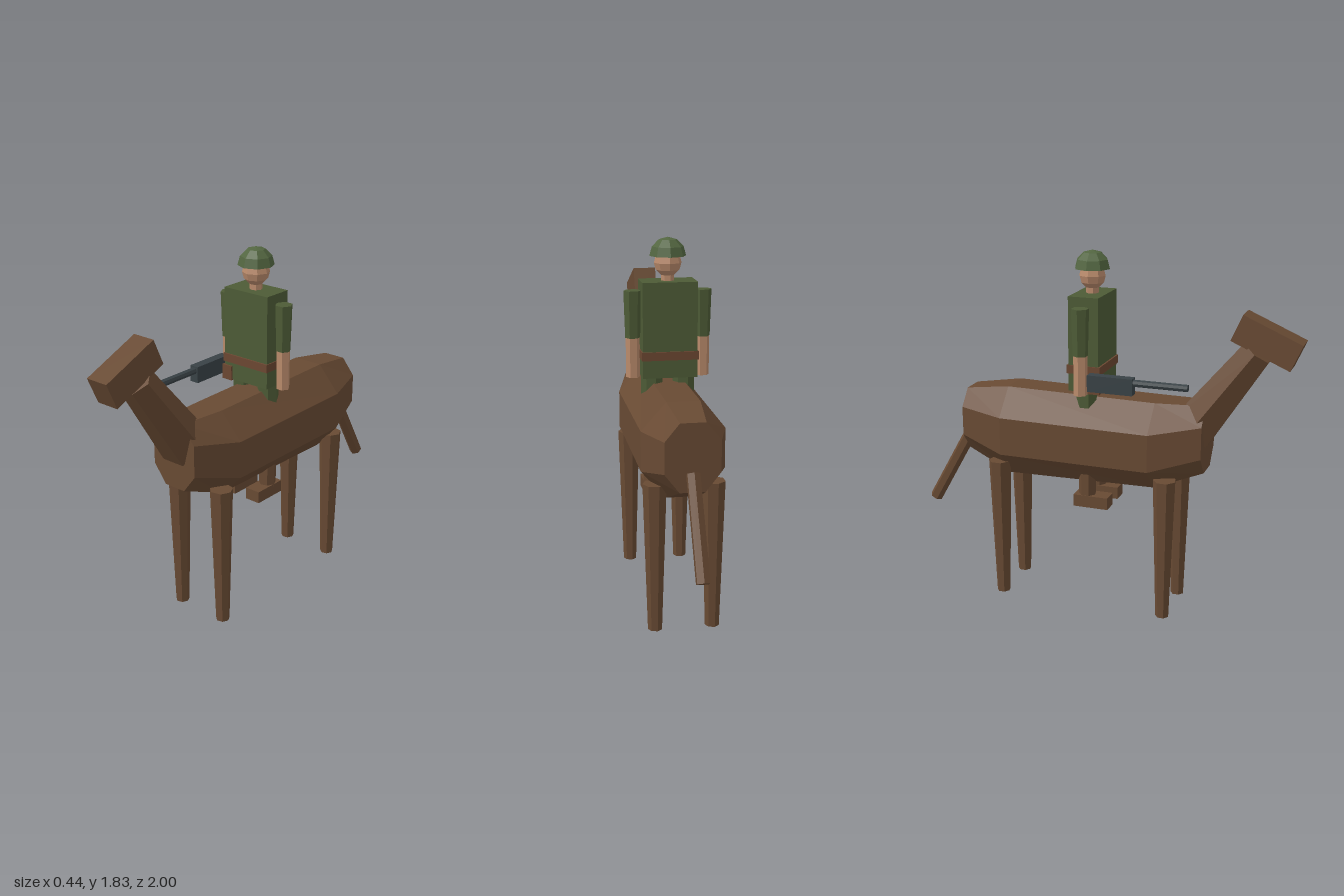
import * as THREE from 'three';

const mat = (name, color) => {
  const m = new THREE.MeshStandardMaterial({ color, flatShading: true });
  m.name = name;
  return m;
};

export function createModel() {
  const model = new THREE.Group();
  model.name = 'mountedSoldier';
  const hide = mat('brownHide', 0x684a33);
  const cloth = mat('greenCloth', 0x4d5b36);
  const helmetGreen = mat('helmetGreen', 0x526540);
  helmetGreen.side = THREE.DoubleSide;
  const skin = mat('skin', 0xb98a6b);
  const leather = mat('leather', 0x6b4731);
  const metal = mat('gunMetal', 0x394246);

  const horse = new THREE.Group();
  horse.name = 'horse';
  const rider = new THREE.Group();
  rider.name = 'rider';
  model.add(horse, rider);

  const add = (parent, name, geo, material, x = 0, y = 0, z = 0) => {
    const m = new THREE.Mesh(geo, material);
    m.name = name;
    m.position.set(x, y, z);
    parent.add(m);
    return m;
  };
  const box = (parent, name, material, [w, h, d], [x, y, z]) =>
    add(parent, name, new THREE.BoxGeometry(w, h, d), material, x, y, z);
  // Tapered prism between two points; "turn" sets where its first corner faces
  const limb = (parent, name, material, from, to, r0, r1, sides, turn = Math.PI / 2) => {
    const a = new THREE.Vector3(...from), b = new THREE.Vector3(...to);
    const dir = b.clone().sub(a);
    const geo = new THREE.CylinderGeometry(r1, r0, dir.length(), sides, 1, false, turn);
    const m = add(parent, name, geo, material);
    m.position.copy(a).add(b).multiplyScalar(0.5);
    m.quaternion.setFromUnitVectors(new THREE.Vector3(0, 1, 0), dir.normalize());
    return m;
  };

  // Barrel body: eight-sided sections from back to front
  // [z, outer half width, inner half width, bottom, lower side, upper side, top]
  const sections = [
    [-0.72, 0.13, 0.06, 0.76, 0.85, 1.0, 1.085],
    [-0.48, 0.2, 0.08, 0.655, 0.79, 0.985, 1.12],
    [0.3, 0.2, 0.08, 0.67, 0.79, 0.98, 1.11],
    [0.55, 0.13, 0.06, 0.77, 0.863, 1.025, 1.115],
  ];
  const pos = [], idx = [];
  for (const [z, w, i, b, l, u, t] of sections) {
    for (const [x, y] of [[i, b], [w, l], [w, u], [i, t], [-i, t], [-w, u], [-w, l], [-i, b]]) pos.push(x, y, z);
  }
  for (let s = 0; s < 3; s++) {
    for (let j = 0; j < 8; j++) {
      const a = s * 8 + j, b = s * 8 + (j + 1) % 8;
      idx.push(a, b, b + 8, a, b + 8, a + 8);
    }
  }
  for (let j = 1; j < 7; j++) {
    idx.push(0, j + 1, j);
    idx.push(24, 24 + j, 25 + j);
  }
  const bodyGeo = new THREE.BufferGeometry();
  bodyGeo.setAttribute('position', new THREE.Float32BufferAttribute(pos, 3));
  bodyGeo.setIndex(idx);
  const flatBody = bodyGeo.toNonIndexed();
  flatBody.computeVertexNormals();
  add(horse, 'body', flatBody, hide);

  // Neck, head and tail
  limb(horse, 'neck', hide, [0, 0.97, 0.47], [0, 1.393, 0.78], 0.125, 0.084, 6);
  box(horse, 'head', hide, [0.12, 0.14, 0.313], [0, 1.448, 0.83]).rotation.x = 0.41;
  limb(horse, 'tail', hide, [0, 0.85, -0.725], [0, 0.425, -0.968], 0.034, 0.034, 6, 0);

  // Four tapered legs
  for (const x of [-0.14, 0.14]) {
    limb(horse, 'frontLeg', hide, [x, 0, 0.375], [x, 0.74, 0.375], 0.035, 0.058, 7);
    limb(horse, 'backLeg', hide, [x, 0, -0.51], [x, 0.74, -0.51], 0.035, 0.058, 7);
  }

  // Rider torso and belt
  const rz = -0.05;
  box(rider, 'torso', cloth, [0.27, 0.47, 0.155], [0, 1.383, rz]);
  box(rider, 'belt', leather, [0.28, 0.042, 0.172], [0, 1.258, rz]);
  box(rider, 'pouch', leather, [0.06, 0.075, 0.08], [-0.117, 1.18, -0.003]);

  // Rider limbs, mirrored
  for (const s of [-1, 1]) {
    const ax = 0.174 * s, lx = 0.08 * s;
    limb(rider, 'sleeve', cloth, [ax, 1.34, rz], [ax, 1.572, rz], 0.037, 0.044, 6);
    limb(rider, 'forearm', skin, [ax, 1.143, rz], [ax, 1.345, rz], 0.034, 0.035, 6);
    limb(rider, 'trouserLeg', cloth, [lx, 0.87, rz], [lx, 1.19, rz], 0.05, 0.056, 7);
    limb(rider, 'bootShaft', hide, [lx, 0.58, rz], [lx, 0.87, rz], 0.044, 0.048, 7);
    box(rider, 'boot', hide, [0.085, 0.062, 0.183], [lx, 0.563, -0.021]);
  }

  // Head and helmet
  limb(rider, 'riderNeck', skin, [0, 1.6, rz], [0, 1.67, rz], 0.033, 0.033, 7);
  add(rider, 'riderHead', new THREE.SphereGeometry(0.068, 8, 6), skin, 0, 1.704, rz);
  add(rider, 'helmet', new THREE.SphereGeometry(0.09, 8, 3, 0, Math.PI * 2, 0, Math.PI / 2),
    helmetGreen, 0, 1.737, rz);

  // Gun held at the right hip
  const gun = new THREE.Group();
  gun.name = 'gun';
  rider.add(gun);
  box(gun, 'receiver', metal, [0.048, 0.083, 0.23], [-0.17, 1.21, 0.105]);
  limb(gun, 'barrel', metal, [-0.17, 1.228, 0.2], [-0.17, 1.228, 0.49], 0.018, 0.018, 8);
  return model;
}
